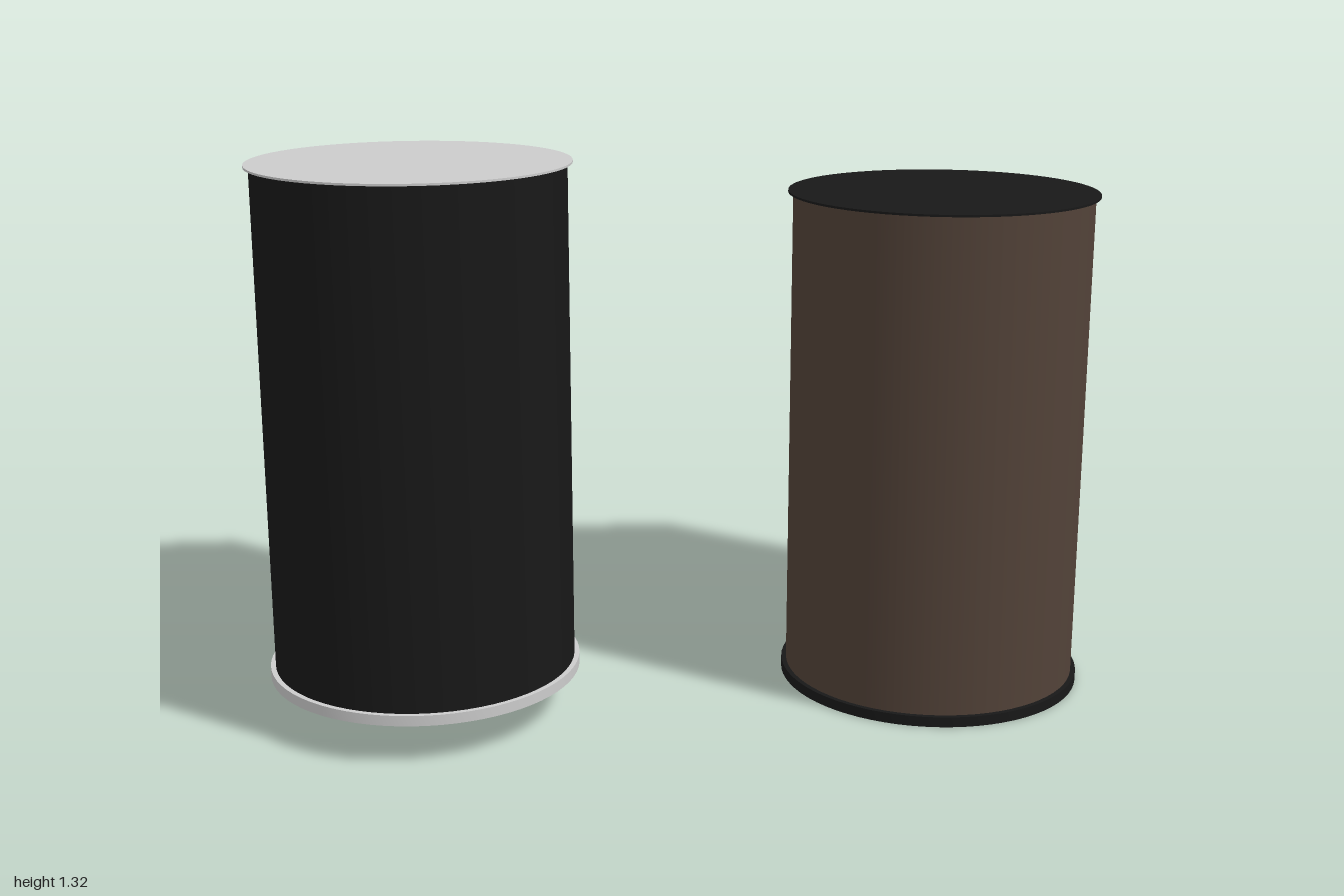
import * as THREE from 'three';
import { toCreasedNormals } from 'three/addons/utils/BufferGeometryUtils.js';

const SEG = 72;
const BODY_R = 0.358, RIM_R = 0.37, HEIGHT = 1.22;

// Revolved profile with sharp corners kept
function lathe(points) {
  const profile = points.map(([r, y]) => new THREE.Vector2(r, y));
  return toCreasedNormals(new THREE.LatheGeometry(profile, SEG), 0.6);
}

// Wall box whose front is scooped to hug the round body
function mountGeometry() {
  const x0 = -0.182, x1 = 0.164, back = -0.685, bottom = 0.435, top = 1.065;
  const a0 = -Math.acos(x0 / BODY_R), a1 = -Math.acos(x1 / BODY_R);
  const shape = new THREE.Shape();
  shape.moveTo(x0, back);
  shape.lineTo(x1, back);
  shape.lineTo(x1, BODY_R * Math.sin(a1));
  shape.absarc(0, 0, BODY_R, a1, a0, true);
  shape.lineTo(x0, back);
  const geo = new THREE.ExtrudeGeometry(shape, { depth: top - bottom, bevelEnabled: false, curveSegments: 16 });
  geo.rotateX(Math.PI / 2);
  geo.translate(0, top, 0);
  return toCreasedNormals(geo, 0.6);
}

function createLamp(name, bodyColor, trimColor) {
  const lamp = new THREE.Group();
  lamp.name = name;
  const bodyMat = new THREE.MeshStandardMaterial({ color: bodyColor });
  const trimMat = new THREE.MeshStandardMaterial({ color: trimColor });
  const darkMat = new THREE.MeshStandardMaterial({ color: 0x181818 });
  const add = (part, geo, mat) => {
    const mesh = new THREE.Mesh(geo, mat);
    mesh.name = part;
    lamp.add(mesh);
    return mesh;
  };

  // Cylindrical shade
  add('body', lathe([[BODY_R, 0.025], [BODY_R, HEIGHT - 0.005]]), bodyMat);

  // Thin lid
  const lid = add('topCap', new THREE.CylinderGeometry(RIM_R, RIM_R, 0.005, SEG), trimMat);
  lid.position.y = HEIGHT - 0.0025;

  // Bottom rim with its stepped inner collar
  add('bottomRim', lathe([
    [0.285, 0.11], [0.285, 0.05], [0.295, 0.05], [0.295, 0],
    [RIM_R, 0], [RIM_R, 0.025], [BODY_R - 0.005, 0.025],
  ]), trimMat);

  // Recessed panel inside the opening, facing down
  const panel = add('recessedPanel', new THREE.CircleGeometry(0.286, SEG), darkMat);
  panel.rotation.x = Math.PI / 2;
  panel.position.y = 0.11;

  // Wall mount
  add('wallMount', mountGeometry(), trimMat);
  return lamp;
}

export function createModel() {
  const model = new THREE.Group();
  model.name = 'wallLamps';

  const rightLamp = createLamp('rightLamp', 0x181818, 0xcccccc);
  rightLamp.position.set(-0.63, 0.1, 0.19);

  const leftLamp = createLamp('leftLamp', 0x524238, 0x181818);
  leftLamp.position.set(0.63, 0, 0.125);

  model.add(rightLamp, leftLamp);
  return model;
}
